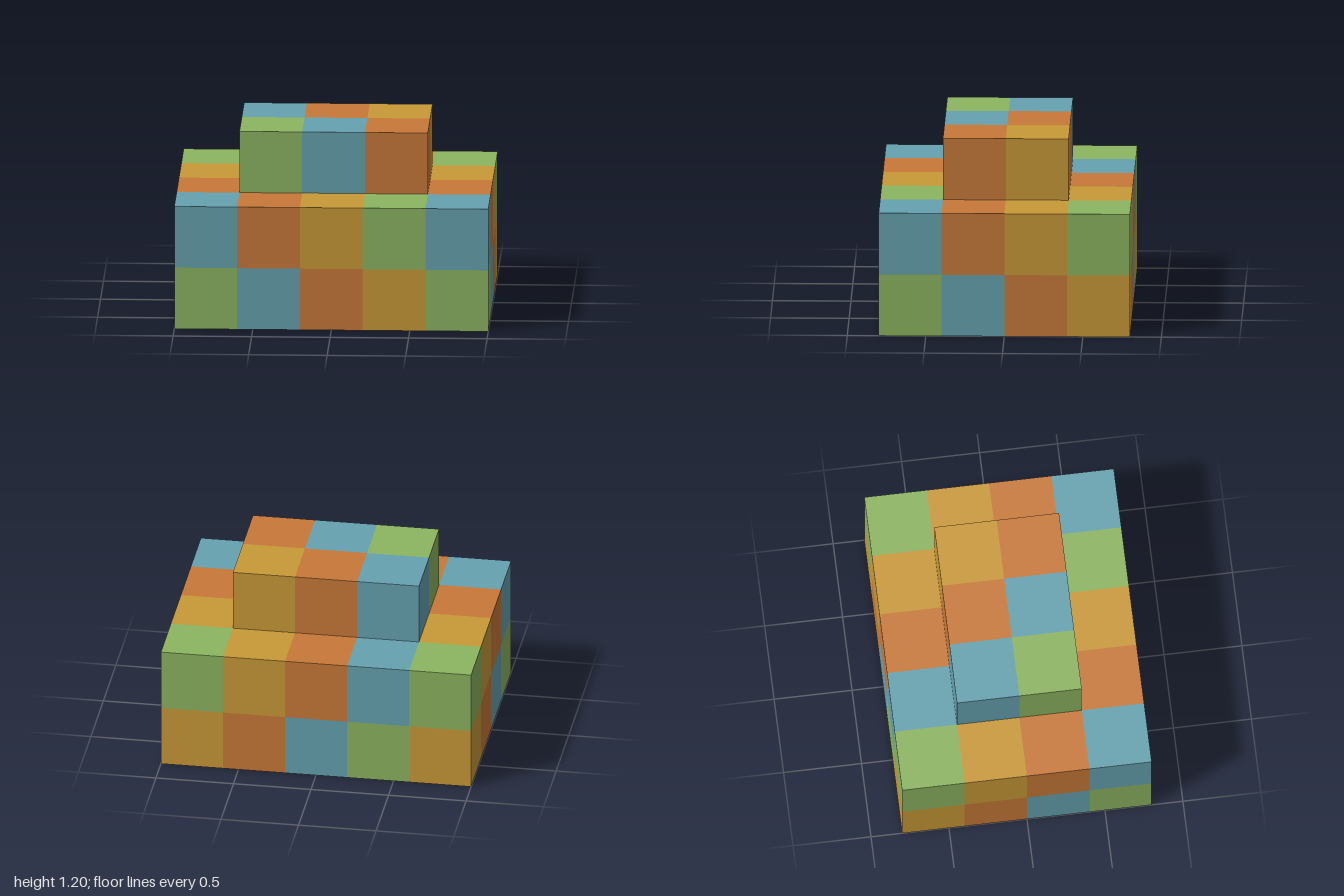
import * as THREE from 'three';

const CELL = 0.4;

const flat = (name, color) => {
  const m = new THREE.MeshStandardMaterial({ color });
  m.name = name;
  return m;
};

// Colours in the order they repeat diagonally through the cells
const materials = [
  flat('green', 0x8cb561),
  flat('blue', 0x66a2b0),
  flat('orange', 0xc87938),
  flat('ochre', 0xc99937),
];

// Two stacked tiers, sizes counted in cells
const lower = { name: 'lowerTier', nx: 5, ny: 2, nz: 4, base: 0 };
const upper = { name: 'upperTier', nx: 3, ny: 1, nz: 2, base: 2 };

// Colour index of the cell containing a point
function cellColour(p) {
  const i = Math.floor(p.x / CELL + 2.5);
  const j = Math.floor(p.y / CELL);
  const k = Math.floor(p.z / CELL + 2);
  return (i - k + j + 7) % 4;
}

// Faces in the joint between the tiers are left out
function isHidden(c) {
  const joint = upper.base * CELL;
  return Math.abs(c.y - joint) < 1e-4 &&
    Math.abs(c.x) < (upper.nx * CELL) / 2 && Math.abs(c.z) < (upper.nz * CELL) / 2;
}

// A box divided into cells, its faces grouped by cell colour
function buildTier({ name, nx, ny, nz, base }) {
  const geo = new THREE.BoxGeometry(nx * CELL, ny * CELL, nz * CELL, nx, ny, nz);
  geo.translate(0, (base + ny / 2) * CELL, 0);
  geo.clearGroups();

  const pos = geo.attributes.position;
  const nor = geo.attributes.normal;
  const index = geo.index.array;
  const buckets = materials.map(() => []);
  const v = new THREE.Vector3();
  for (let t = 0; t < index.length; t += 3) {
    const tri = [index[t], index[t + 1], index[t + 2]];
    const centre = new THREE.Vector3();
    tri.forEach((n) => centre.addScaledVector(v.fromBufferAttribute(pos, n), 1 / 3));
    if (isHidden(centre)) continue;
    // Step just inside the surface to find the owning cell
    centre.addScaledVector(v.fromBufferAttribute(nor, tri[0]), -CELL / 4);
    buckets[cellColour(centre)].push(...tri);
  }

  geo.setIndex(buckets.flat());
  let start = 0;
  buckets.forEach((b, m) => {
    geo.addGroup(start, b.length, m);
    start += b.length;
  });
  const mesh = new THREE.Mesh(geo, materials);
  mesh.name = name;
  return mesh;
}

export function createModel() {
  const model = new THREE.Group();
  model.name = 'steppedBlocks';
  model.add(buildTier(lower), buildTier(upper));
  return model;
}
